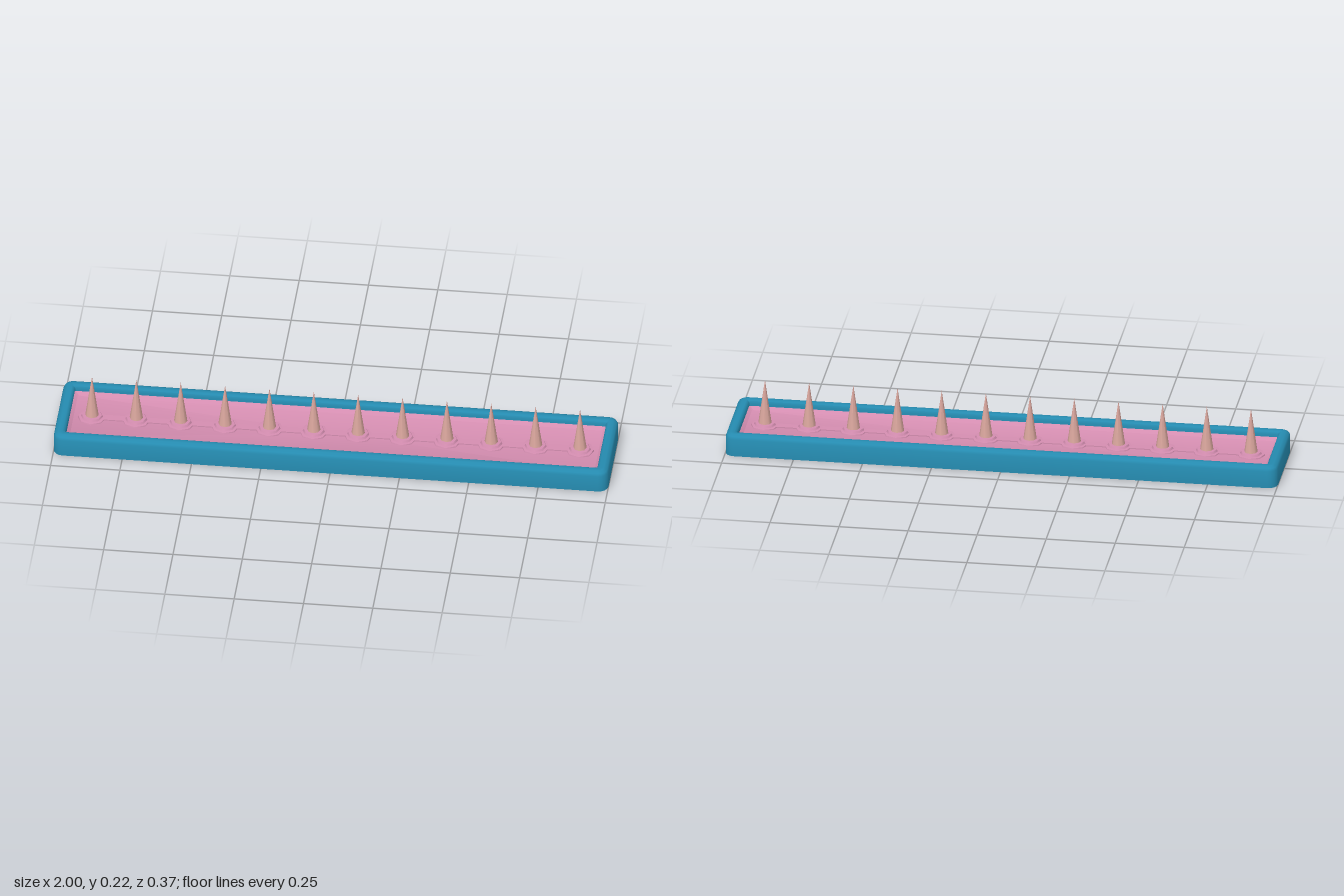
import * as THREE from 'three';
import { toCreasedNormals } from 'three/addons/utils/BufferGeometryUtils.js';

const HALF_X = 1, HALF_Z = 0.183, CORNER = 0.035, STEPS = 4;

// Counter-clockwise (seen from above) rounded rectangle, inset from the tray outline
function ring(inset, y) {
  const r = Math.max(0.006, CORNER - inset);
  const cx = HALF_X - inset - r, cz = HALF_Z - inset - r;
  const points = [];
  [[1, 1], [-1, 1], [-1, -1], [1, -1]].forEach(([sx, sz], q) => {
    for (let i = 0; i <= STEPS; i++) {
      const a = (q + i / STEPS) * Math.PI / 2;
      points.push([sx * cx + r * Math.cos(a), y, -(-sz * cz - r * Math.sin(a))]);
    }
  });
  return points;
}

// Skin a list of [inset, y] rings; optional flat caps close the start or the end
function loft(profile, capStart, capEnd) {
  const rings = profile.map(([inset, y]) => ring(inset, y));
  const n = rings[0].length, pos = [];
  const tri = (a, b, c) => pos.push(...a, ...b, ...c);
  for (let k = 0; k < rings.length - 1; k++) {
    for (let i = 0; i < n; i++) {
      const j = (i + 1) % n;
      const a = rings[k][i], b = rings[k][j], c = rings[k + 1][j], d = rings[k + 1][i];
      tri(a, c, b);
      tri(a, d, c);
    }
  }
  const first = rings[0], last = rings[rings.length - 1];
  for (let i = 0; i < n; i++) {
    const j = (i + 1) % n;
    if (capStart) tri([0, first[0][1], 0], first[i], first[j]);
    if (capEnd) tri([0, last[0][1], 0], last[j], last[i]);
  }
  const geometry = new THREE.BufferGeometry();
  geometry.setAttribute('position', new THREE.Float32BufferAttribute(pos, 3));
  return toCreasedNormals(geometry, 0.7);
}

export function createModel() {
  const model = new THREE.Group();
  model.name = 'spikeStrip';
  const blue = new THREE.MeshStandardMaterial({ color: 0x258bb0 });
  blue.name = 'tray blue';
  const pink = new THREE.MeshStandardMaterial({ color: 0xd48db0 });
  pink.name = 'floor pink';
  const tan = new THREE.MeshStandardMaterial({ color: 0xdba79e });
  tan.name = 'spike tan';

  const add = (parent, name, geometry, material, x = 0, y = 0) => {
    const mesh = new THREE.Mesh(geometry, material);
    mesh.name = name;
    mesh.position.set(x, y, 0);
    parent.add(mesh);
  };

  // Tray: flat underside, straight walls, rounded rim and inner wall
  add(model, 'tray', loft([
    [0, 0], [0, 0.064], [0.005, 0.074], [0.017, 0.08],
    [0.032, 0.08], [0.039, 0.076], [0.042, 0.068], [0.042, 0.045],
  ], true, false), blue);

  // Recessed floor with a bevelled border
  add(model, 'floor', loft([[0.042, 0.058], [0.054, 0.047]], false, true), pink);

  // Low ridge that joins the spike collars
  add(model, 'ridge', new THREE.BoxGeometry(1.76, 0.006, 0.03), pink, 0, 0.048);

  // Row of spikes, each on a stepped collar
  const collar = new THREE.LatheGeometry([
    [0.052, 0.045], [0.05, 0.051], [0.04, 0.052], [0.036, 0.059], [0, 0.059],
  ].map(([r, y]) => new THREE.Vector2(r, y)), 8);
  const collarGeometry = toCreasedNormals(collar, 0.9);
  const spikeGeometry = new THREE.ConeGeometry(0.0255, 0.176, 8, 1, true);
  for (let i = 0; i < 12; i++) {
    const unit = new THREE.Group();
    unit.name = `spikeUnit${i + 1}`;
    unit.position.x = -0.88 + 0.16 * i;
    add(unit, 'collar', collarGeometry, pink);
    add(unit, 'spike', spikeGeometry, tan, 0, 0.137);
    model.add(unit);
  }
  return model;
}
